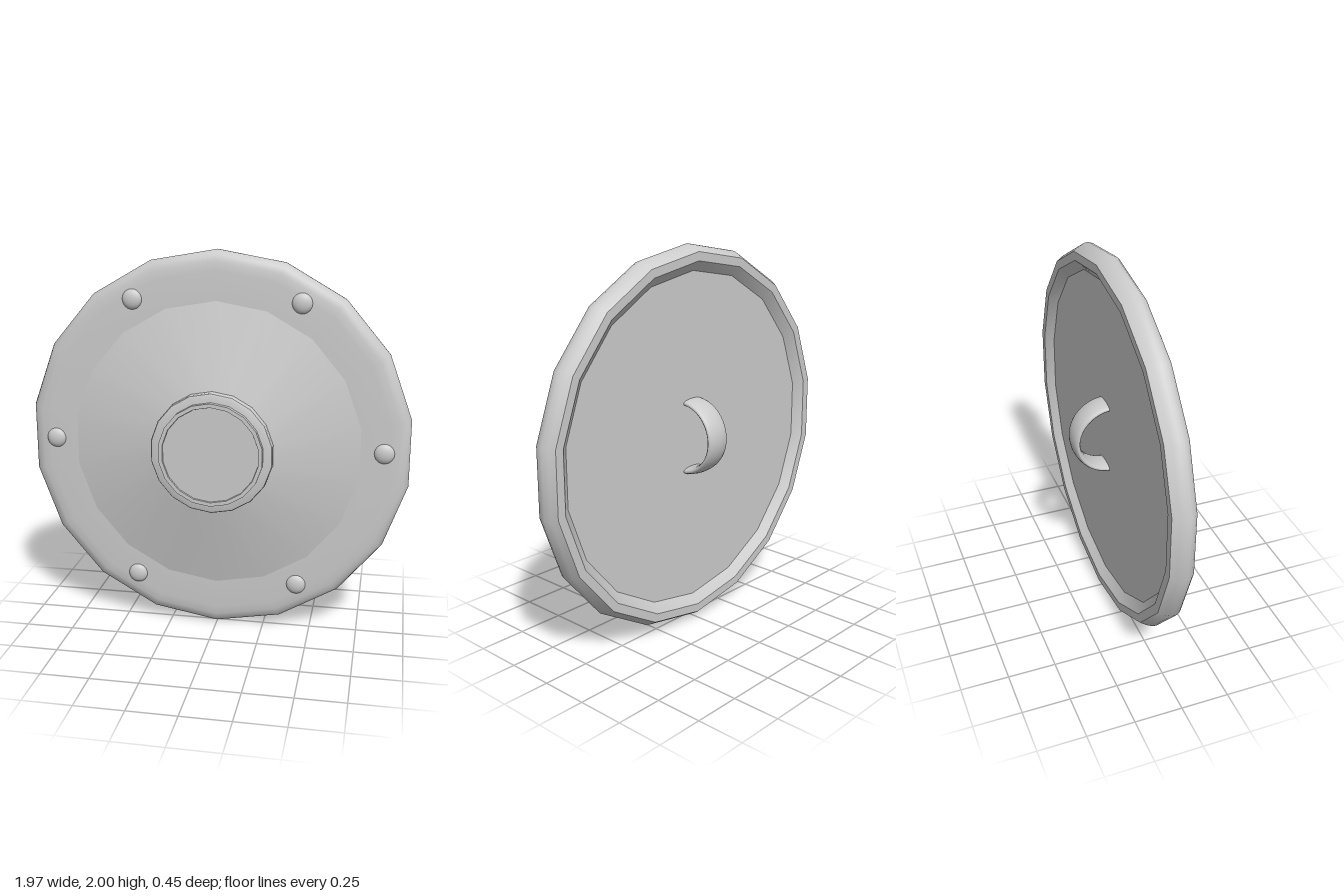
import * as THREE from 'three';
import { toCreasedNormals } from 'three/addons/utils/BufferGeometryUtils.js';

const SIDES = 18;
const CENTRE_Y = 1;

export function createModel() {
  const model = new THREE.Group();
  model.name = 'roundShield';
  const material = new THREE.MeshStandardMaterial({ color: 0xcccccc });

  const add = (name, geometry, x = 0, y = 0, z = 0) => {
    const mesh = new THREE.Mesh(geometry, material);
    mesh.name = name;
    mesh.position.set(x, CENTRE_Y + y, z);
    model.add(mesh);
    return mesh;
  };

  // Turned part facing +z; profile is [radius, z] pairs from back to front
  const turned = (name, profile) => {
    const points = profile.map(([r, z]) => new THREE.Vector2(r, z));
    const geometry = new THREE.LatheGeometry(points, SIDES).rotateX(Math.PI / 2);
    return add(name, toCreasedNormals(geometry, 0.62));
  };

  // Recessed back panel
  turned('backPanel', [[0, -0.035], [0.88, -0.035]]);

  // Rounded rim: inner lip, back edge, outer curve, front band
  turned('rim', [
    [0.87, -0.035], [0.92, -0.075], [0.965, -0.075], [0.985, -0.045],
    [0.998, -0.015], [1, 0.005], [0.992, 0.026], [0.975, 0.042],
    [0.945, 0.051], [0.9, 0.055], [0.75, 0.057],
  ]);

  // Sloping face
  turned('face', [[0.75, 0.057], [0.3, 0.163]]);

  // Stepped central boss
  turned('bossBase', [
    [0.315, 0.14], [0.315, 0.188], [0.311, 0.195], [0.302, 0.199], [0.25, 0.2],
  ]);
  turned('bossCap', [
    [0.268, 0.19], [0.268, 0.226], [0.248, 0.226], [0.246, 0.218], [0, 0.218],
  ]);

  // Six domed studs around the rim
  for (let i = 0; i < 6; i++) {
    const a = (i * Math.PI) / 3;
    const stud = new THREE.SphereGeometry(0.052, 16, 12).scale(1, 1, 0.5);
    add('stud', stud, 0.857 * Math.cos(a), 0.857 * Math.sin(a) + 0.006, 0.052);
  }

  // Strap-like hand grip on the back
  const grip = new THREE.TorusGeometry(0.182, 0.02, 16, 28, Math.PI)
    .scale(1, 1, 3.5)
    .rotateZ(-Math.PI / 2)
    .rotateY(Math.PI / 2);
  add('handGrip', grip, 0, 0.022, -0.02);

  return model;
}
